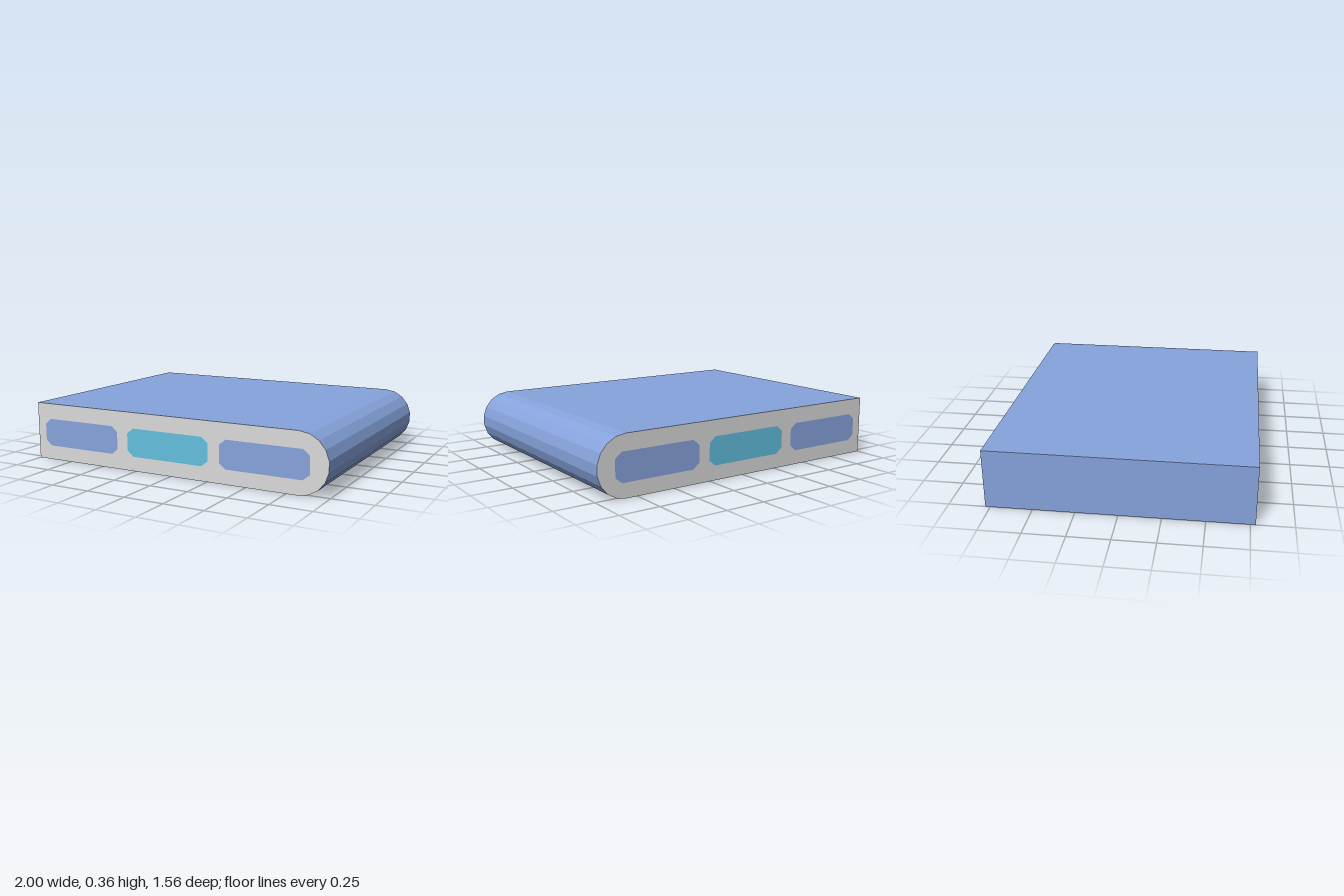
import * as THREE from 'three';

const HEIGHT = 0.364, HALF_DEPTH = 0.78, R = HEIGHT / 2, ARC_X = 0.82, STEPS = 9;

const mat = (name, color) =>
  new THREE.MeshStandardMaterial({ name, color, side: THREE.DoubleSide, flatShading: true });

// Open profile: half-round edge, flat top, straight side wall
function outline() {
  const pts = [];
  for (let i = 0; i <= STEPS; i++) {
    const a = (i / STEPS) * Math.PI;
    pts.push(new THREE.Vector2(ARC_X + R * Math.sin(a), R - R * Math.cos(a)));
  }
  pts.push(new THREE.Vector2(-1, HEIGHT), new THREE.Vector2(-1, 0));
  return pts;
}

// Sweep the profile along z as a bottomless sheet
function sheet(pts) {
  const v = [];
  for (let i = 0; i < pts.length - 1; i++) {
    const p = pts[i], q = pts[i + 1], z = HALF_DEPTH;
    v.push(p.x, p.y, z, p.x, p.y, -z, q.x, q.y, -z);
    v.push(p.x, p.y, z, q.x, q.y, -z, q.x, q.y, z);
  }
  const g = new THREE.BufferGeometry();
  g.setAttribute('position', new THREE.Float32BufferAttribute(v, 3));
  g.computeVertexNormals();
  return g;
}

// Rectangle with cut corners, centred on the origin
function panelShape(w, h, cx, cy) {
  const x = w / 2, y = h / 2;
  return new THREE.Shape([
    [-x + cx, -y], [x - cx, -y], [x, -y + cy], [x, y - cy],
    [x - cx, y], [-x + cx, y], [-x, y - cy], [-x, -y + cy],
  ].map(([a, b]) => new THREE.Vector2(a, b)));
}

export function createModel() {
  const model = new THREE.Group();
  model.name = 'roundedSlab';
  const blue = mat('blue', 0x86a3dc);
  const grey = mat('lightGrey', 0xd9d9d9);
  const teal = mat('teal', 0x62bedd);

  const add = (name, geometry, material, x = 0, y = 0, z = 0) => {
    const mesh = new THREE.Mesh(geometry, material);
    mesh.name = name;
    mesh.position.set(x, y, z);
    model.add(mesh);
    return mesh;
  };

  const pts = outline();
  add('outerShell', sheet(pts), blue);

  // End plates, each with three panels on its outer face
  const plate = new THREE.ShapeGeometry(new THREE.Shape(pts));
  const panel = new THREE.ShapeGeometry(panelShape(0.56, 0.175, 0.042, 0.034));
  for (const [side, s] of [['front', 1], ['back', -1]]) {
    // The back plate is the same outline with its faces reversed
    const g = plate.clone();
    if (s < 0) {
      const idx = Array.from(g.index.array).reverse();
      g.setIndex(idx);
      g.computeVertexNormals();
    }
    add(side + 'Plate', g, grey, 0, 0, s * HALF_DEPTH);
    [-0.66, -0.025, 0.61].forEach((x, i) => {
      const m = add(side + 'Panel' + (i + 1), panel, i === 1 ? teal : blue,
        x, 0.178, s * (HALF_DEPTH + 0.002));
      if (s < 0) m.rotation.y = Math.PI;
    });
  }
  return model;
}
